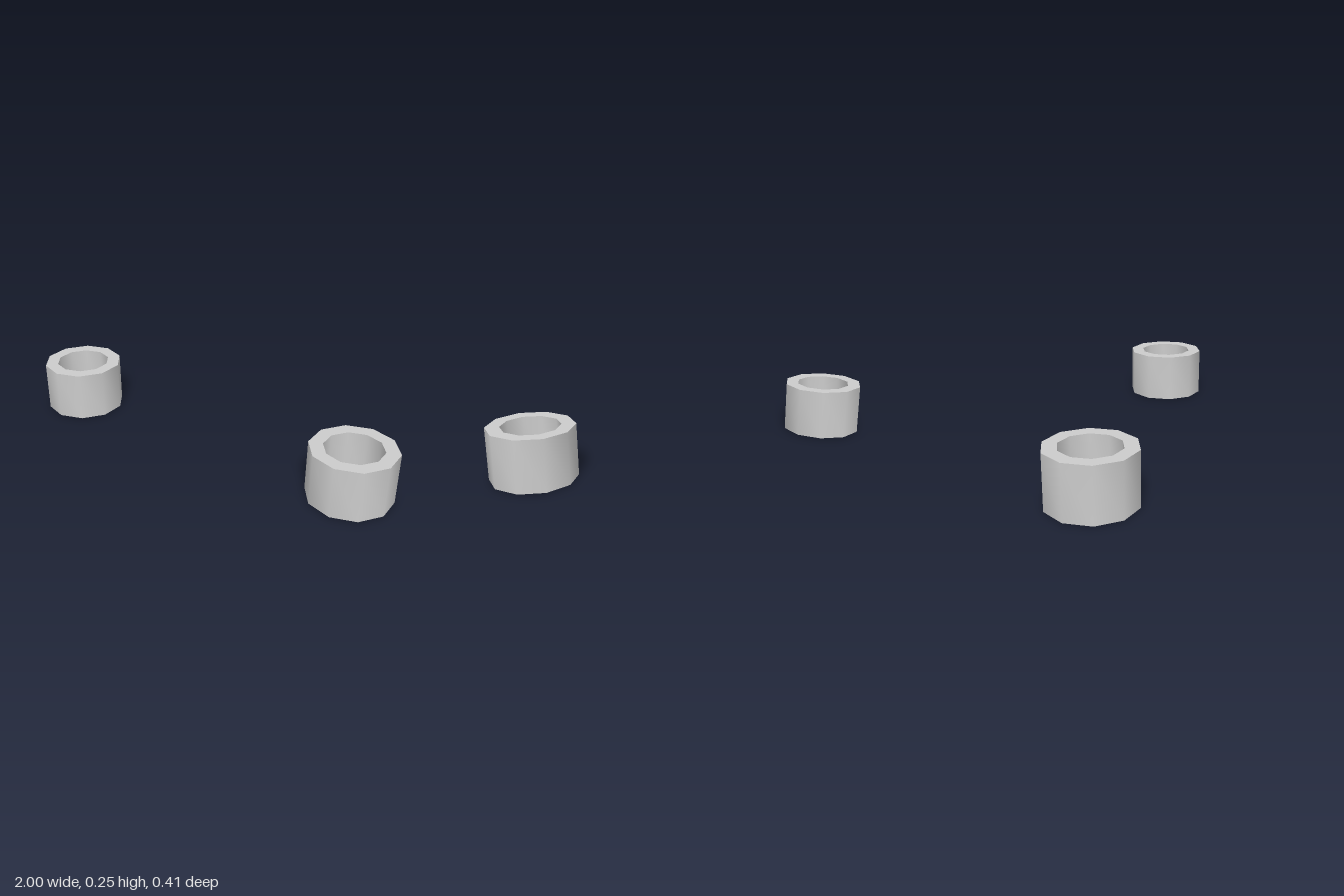
import * as THREE from 'three';
import { toCreasedNormals } from 'three/addons/utils/BufferGeometryUtils.js';

const SIDES = 10;
const OUTER = 0.204;
const INNER = 0.138;
const HEIGHT = 0.25;
const CENTRE_X = 1 - OUTER * Math.cos(Math.PI / SIDES);

export function createModel() {
  const model = new THREE.Group();
  model.name = 'ringPair';

  const grey = new THREE.MeshStandardMaterial({ color: 0xcccccc });
  grey.name = 'light grey';

  // Ten-sided hollow collar: smooth walls, sharp rims
  const profile = [
    [INNER, 0], [OUTER, 0], [OUTER, HEIGHT], [INNER, HEIGHT], [INNER, 0],
  ].map(([r, y]) => new THREE.Vector2(r, y));
  const collar = toCreasedNormals(new THREE.LatheGeometry(profile, SIDES), 0.8);

  // One collar on each side
  for (const [name, side] of [['leftCollar', 1], ['rightCollar', -1]]) {
    const mesh = new THREE.Mesh(collar, grey);
    mesh.name = name;
    mesh.position.x = side * CENTRE_X;
    model.add(mesh);
  }
  return model;
}
